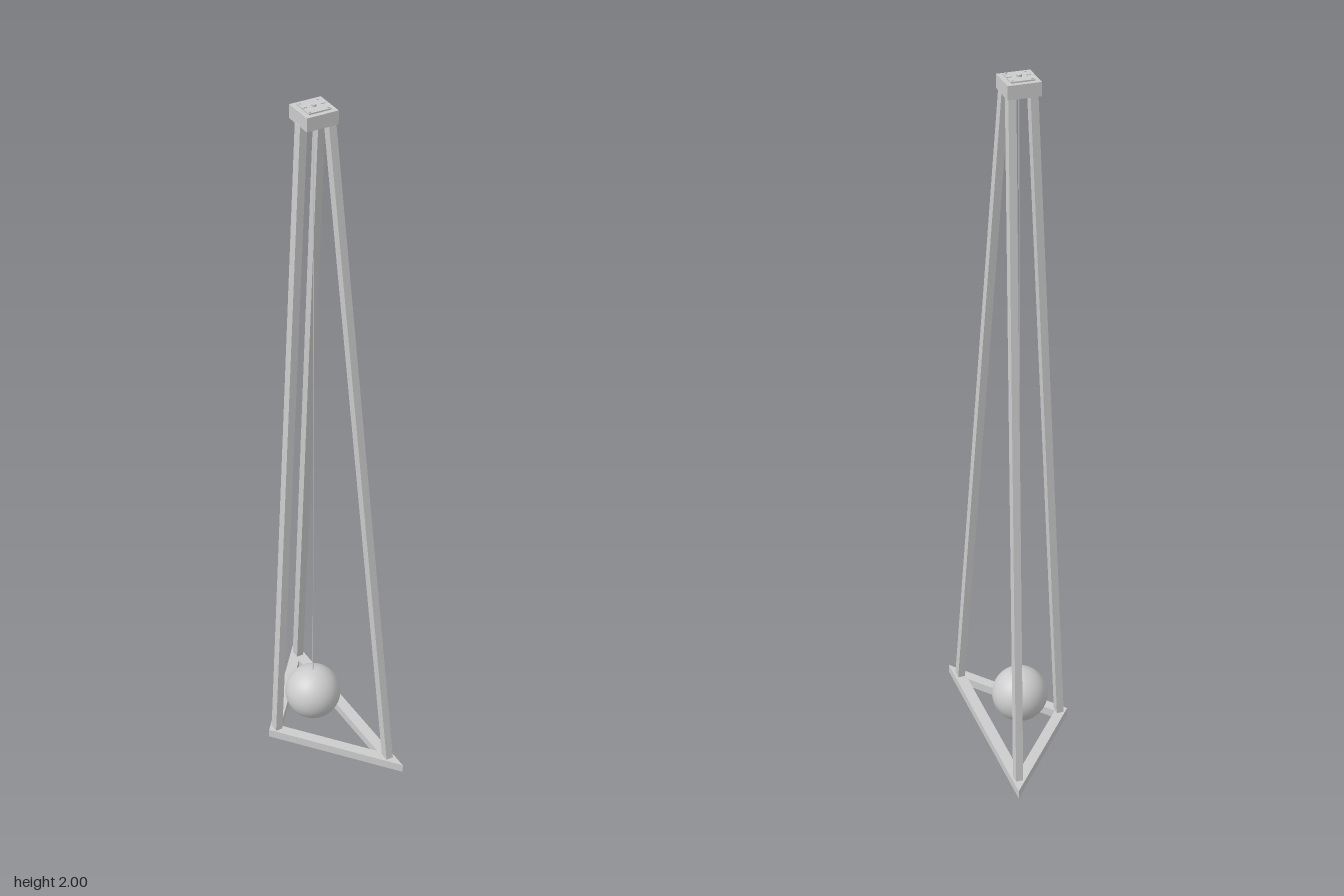
import * as THREE from 'three';

const material = new THREE.MeshStandardMaterial({ color: 0xcccccc });
const AXIS_X = 0.016; // pendulum axis

function add(parent, name, geometry, x = 0, y = 0, z = 0) {
  const mesh = new THREE.Mesh(geometry, material);
  mesh.name = name;
  mesh.position.set(x, y, z);
  parent.add(mesh);
  return mesh;
}

// Leaning bar with level ends: a box sheared from its foot to its head
function leaningBar(foot, head, y0, y1, width, depth) {
  const geometry = new THREE.BoxGeometry(width, y1 - y0, depth);
  const p = geometry.attributes.position;
  for (let i = 0; i < p.count; i++) {
    const [cx, cz] = p.getY(i) > 0 ? head : foot;
    p.setXYZ(i, p.getX(i) + cx, p.getY(i) + (y0 + y1) / 2, p.getZ(i) + cz);
  }
  geometry.computeVertexNormals();
  return geometry;
}

export function createModel() {
  const model = new THREE.Group();
  model.name = 'pendulumStand';

  // Triangular base frame with an open middle
  const triangle = (left, right, half) => [
    new THREE.Vector2(left, 0), new THREE.Vector2(right, -half), new THREE.Vector2(right, half),
  ];
  const outline = new THREE.Shape(triangle(-0.13, 0.13, 0.32));
  outline.holes.push(new THREE.Path(triangle(-0.091, 0.098, 0.232)));
  const base = new THREE.ExtrudeGeometry(outline, { depth: 0.025, bevelEnabled: false });
  base.rotateX(-Math.PI / 2);
  add(model, 'baseFrame', base);

  // Three legs rising from the corners to the cap
  add(model, 'rightLeg', leaningBar([-0.104, 0], [-0.02, 0], 0.02, 1.955, 0.021, 0.027));
  for (const [side, name] of [[1, 'frontLeg'], [-1, 'backLeg']]) {
    add(model, name,
      leaningBar([0.1125, side * 0.264], [0.047, side * 0.026], 0.02, 1.955, 0.021, 0.027));
  }

  // Cap block and the suspension plate on it
  const cap = new THREE.Group();
  cap.name = 'cap';
  cap.position.set(AXIS_X, 0, 0);
  model.add(cap);
  add(cap, 'capBlock', new THREE.BoxGeometry(0.09, 0.038, 0.09), 0, 1.971, 0);
  add(cap, 'topPlate', new THREE.BoxGeometry(0.064, 0.004, 0.064), 0, 1.992, 0);
  for (const x of [-1, 1]) {
    add(cap, 'plateRib', new THREE.BoxGeometry(0.012, 0.002, 0.002), x * 0.026, 1.995, 0);
    for (const z of [-1, 1]) {
      add(cap, 'screw', new THREE.CylinderGeometry(0.003, 0.003, 0.003, 16),
        x * 0.026, 1.995, z * 0.026);
    }
  }
  add(cap, 'wireClamp', new THREE.CylinderGeometry(0.007, 0.007, 0.007, 24), 0, 1.9965, 0);

  // Wire and hanging ball
  add(model, 'wire', new THREE.CylinderGeometry(0.001, 0.001, 1.78, 8), AXIS_X, 1.07, 0);
  add(model, 'ball', new THREE.SphereGeometry(0.08, 48, 32), AXIS_X, 0.114, 0);

  return model;
}
